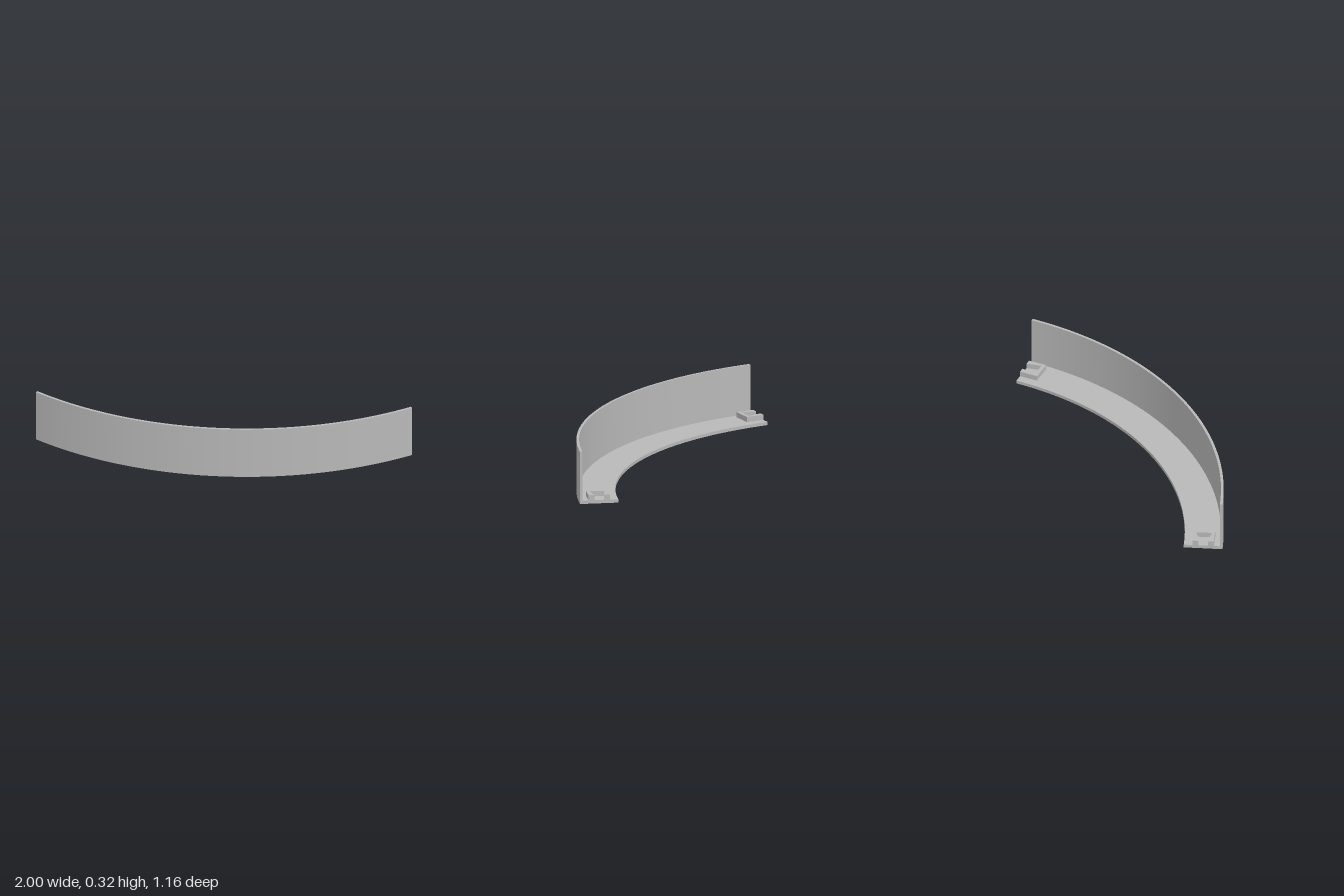
import * as THREE from 'three';
import { toCreasedNormals } from 'three/addons/utils/BufferGeometryUtils.js';

// Arc layout: angles are measured about the vertical axis from +z towards +x
const CENTRE_X = 0.7425, CENTRE_Z = -1.382;
const R_OUTER = 1.965, R_WALL = 1.949, R_INNER = 1.733;
const A_LEFT = THREE.MathUtils.degToRad(7.53);
const A_RIGHT = THREE.MathUtils.degToRad(-62.47);
const FLOOR_H = 0.02, WALL_H = 0.323, CLIP_H = 0.032;

// Extrude a plan shape (x, -z) upwards
function extrudeUp(shape, height) {
  const geo = new THREE.ExtrudeGeometry(shape, { depth: height, bevelEnabled: false, curveSegments: 64 });
  geo.rotateX(-Math.PI / 2);
  return toCreasedNormals(geo, 0.4);
}

// Plan of a curved strip between two radii
function arcStrip(rIn, rOut) {
  const a = A_RIGHT - Math.PI / 2, b = A_LEFT - Math.PI / 2;
  const shape = new THREE.Shape();
  shape.absarc(0, 0, rOut, a, b, false);
  shape.absarc(0, 0, rIn, b, a, true);
  shape.closePath();
  return shape;
}

// Block with a dovetail slot that opens at the strip's end; side = +1 or -1
function clipShape(side) {
  const mid = -(R_OUTER + R_INNER) / 2;
  const half = [
    [0, 0.064], [-0.112, 0.064], [-0.112, -0.064], [0, -0.064],
    [0, -0.028], [-0.09, -0.046], [-0.09, 0.046], [0, 0.028],
  ];
  return new THREE.Shape(half.map(([x, y]) => new THREE.Vector2(side * x, mid + y)));
}

export function createModel() {
  const model = new THREE.Group();
  model.name = 'curvedEdging';
  const grey = new THREE.MeshStandardMaterial({ color: 0xb8b8b8 });
  grey.name = 'grey';

  const add = (name, geometry) => {
    const mesh = new THREE.Mesh(geometry, grey);
    mesh.name = name;
    mesh.position.set(CENTRE_X, 0, CENTRE_Z);
    model.add(mesh);
    return mesh;
  };

  // Upright outer wall and flat inner flange
  add('wall', extrudeUp(arcStrip(R_WALL, R_OUTER), WALL_H));
  add('flange', extrudeUp(arcStrip(R_INNER, R_WALL), FLOOR_H));

  // Connector clip on each end of the flange
  for (const [name, side, angle] of [['leftClip', 1, A_LEFT], ['rightClip', -1, A_RIGHT]]) {
    const clip = add(name, extrudeUp(clipShape(side), CLIP_H));
    clip.position.y = FLOOR_H;
    clip.rotation.y = angle;
  }
  return model;
}
